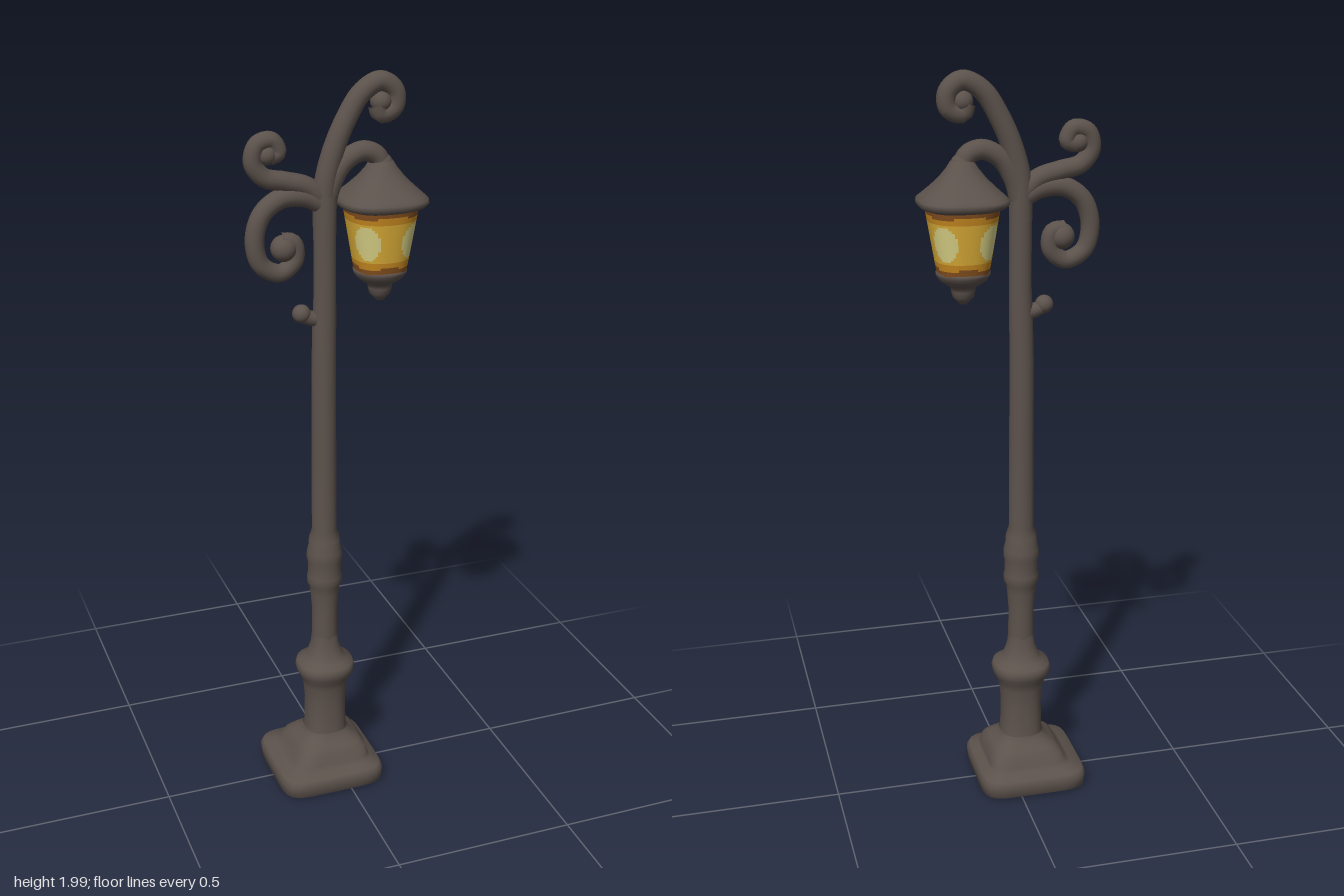
import * as THREE from 'three';

const mat = (name, color) => {
  const m = new THREE.MeshStandardMaterial({ color });
  m.name = name;
  return m;
};

// Stack of superellipse rings [y, radius, exponent, centreX], bottom to top.
// pick(ring, angle) chooses a material index per cell.
function loft(rings, seg = 48, pick = () => 0, colours = 1) {
  const pos = [];
  const lists = Array.from({ length: colours }, () => []);
  rings.forEach(([y, r, n = 2, cx = 0]) => {
    for (let j = 0; j < seg; j++) {
      const a = (j / seg) * Math.PI * 2, c = Math.cos(a), s = Math.sin(a);
      const k = r / Math.pow(Math.abs(c) ** n + Math.abs(s) ** n, 1 / n);
      pos.push(cx + k * c, y, k * s);
    }
  });
  for (let i = 0; i < rings.length - 1; i++) {
    for (let j = 0; j < seg; j++) {
      const a = i * seg + j, b = i * seg + ((j + 1) % seg);
      const list = lists[pick(i, ((j + 0.5) / seg) * Math.PI * 2)];
      list.push(a, a + seg, b, b, a + seg, b + seg);
    }
  }
  const g = new THREE.BufferGeometry();
  g.setAttribute('position', new THREE.Float32BufferAttribute(pos, 3));
  g.setIndex(lists.flat());
  let start = 0;
  lists.forEach((l, i) => { g.addGroup(start, l.length, i); start += l.length; });
  g.computeVertexNormals();
  return g;
}

// Tube through [x, y] points whose radius runs from r0 to r1.
function taperedTube(points, r0, r1) {
  const curve = new THREE.CatmullRomCurve3(points.map(([x, y]) => new THREE.Vector3(x, y, 0)));
  const seg = 72, sides = 14;
  const g = new THREE.TubeGeometry(curve, seg, 1, sides, false);
  const p = g.attributes.position, v = new THREE.Vector3();
  for (let i = 0; i <= seg; i++) {
    const c = curve.getPointAt(i / seg), r = r0 + (r1 - r0) * (i / seg);
    for (let j = 0; j <= sides; j++) {
      const k = i * (sides + 1) + j;
      v.fromBufferAttribute(p, k).sub(c).multiplyScalar(r).add(c);
      p.setXYZ(k, v.x, v.y, v.z);
    }
  }
  return g;
}

export function createModel() {
  const iron = mat('dark iron', 0x5c524c);
  const glassMats = [
    mat('burnt amber', 0x85501f),
    mat('amber glass', 0xc88a22),
    mat('golden glass', 0xdcae38),
    mat('pale glow', 0xdcd488),
  ];
  const model = new THREE.Group();
  model.name = 'streetLamp';
  const add = (name, geometry, material = iron, parent = model) => {
    const m = new THREE.Mesh(geometry, material);
    m.name = name;
    parent.add(m);
    return m;
  };

  // Square foot, stepping in to the pedestal
  add('foot', loft([
    [0.006, 0.001, 6, -0.044], [0.006, 0.135, 6, -0.044], [0.014, 0.149, 6, -0.044],
    [0.045, 0.152, 6, -0.044], [0.06, 0.144, 6, -0.044], [0.068, 0.118, 6, -0.04],
    [0.08, 0.108, 6, -0.035], [0.105, 0.1, 5, -0.032], [0.12, 0.085, 4, -0.031],
    [0.135, 0.066, 3, -0.031], [0.15, 0.06, 2.6, -0.031],
  ], 64));

  // Pedestal with flared collar
  add('pedestal', loft([
    [0.13, 0.064], [0.16, 0.058], [0.24, 0.056], [0.29, 0.06], [0.315, 0.067],
    [0.333, 0.078], [0.35, 0.081], [0.364, 0.077], [0.373, 0.06], [0.39, 0.048],
    [0.42, 0.038], [0.45, 0.035],
  ].map(([y, r]) => [y, r, 2.3, -0.031])));

  // Pole with its swollen band
  add('pole', loft([
    [0.43, 0.036], [0.53, 0.035], [0.58, 0.039], [0.605, 0.042], [0.615, 0.048],
    [0.635, 0.048], [0.645, 0.045], [0.68, 0.046], [0.69, 0.049], [0.71, 0.048],
    [0.725, 0.044], [0.75, 0.042], [0.775, 0.034], [1.0, 0.033], [1.25, 0.032],
    [1.36, 0.031, -0.029], [1.45, 0.029, -0.027], [1.6, 0.029, -0.027], [1.7, 0.03, -0.026],
  ].map(([y, r, cx = -0.031]) => [y, r, 2, cx]), 32));

  // Ironwork scrolls, each ending in a round boss [x, y, radius]
  const scrolls = [
    ['topScroll', 0.03, 0.024, [0.122, 1.922, 0.027], [
      [-0.027, 1.62], [-0.025, 1.72], [-0.006, 1.8], [0.028, 1.88], [0.072, 1.947],
      [0.122, 1.972], [0.159, 1.945], [0.157, 1.905], [0.122, 1.892], [0.112, 1.918]]],
    ['upperSideScroll', 0.027, 0.021, [-0.176, 1.812, 0.026], [
      [-0.026, 1.685], [-0.075, 1.725], [-0.13, 1.742], [-0.185, 1.757], [-0.212, 1.795],
      [-0.2, 1.838], [-0.163, 1.846], [-0.147, 1.815], [-0.172, 1.805]]],
    ['lowerSideScroll', 0.027, 0.022, [-0.135, 1.573, 0.034], [
      [-0.026, 1.675], [-0.08, 1.7], [-0.14, 1.7], [-0.19, 1.665], [-0.211, 1.6],
      [-0.195, 1.535], [-0.145, 1.51], [-0.106, 1.54], [-0.11, 1.585], [-0.145, 1.592]]],
    ['stubScroll', 0.022, 0.018, [-0.09, 1.396, 0.024], [
      [-0.028, 1.375], [-0.06, 1.38], [-0.088, 1.39]]],
    ['lanternArm', 0.026, 0.026, [0.125, 1.765, 0.03], [
      [-0.026, 1.66], [-0.008, 1.725], [0.025, 1.778], [0.072, 1.802], [0.11, 1.79], [0.127, 1.755]]],
  ];
  for (const [name, r0, r1, [x, y, r], pts] of scrolls) {
    const part = new THREE.Group();
    part.name = name;
    part.position.z = -0.003;
    model.add(part);
    add(name + 'Stem', taperedTube(pts, r0, r1), iron, part);
    add(name + 'Boss', new THREE.SphereGeometry(r, 20, 14), iron, part).position.set(x, y, 0);
  }

  // Hanging lantern
  const lantern = new THREE.Group();
  lantern.name = 'lantern';
  lantern.position.set(0.125, 0, -0.004);
  model.add(lantern);
  add('lanternRoof', loft([
    [1.658, 0.001, 2.6], [1.658, 0.092, 2.6], [1.664, 0.108, 2.6], [1.673, 0.116, 2.7],
    [1.683, 0.114, 2.7], [1.692, 0.104, 2.6], [1.712, 0.082, 2.4], [1.735, 0.059, 2.2],
    [1.758, 0.041, 2], [1.775, 0.03, 2], [1.785, 0.015, 2], [1.787, 0.001, 2],
  ]), iron, lantern);

  // Glass body: four glowing patches on the diagonals
  const levels = 26, y0 = 1.495, y1 = 1.662;
  const rings = Array.from({ length: levels + 1 }, (_, i) => {
    const t = i / levels;
    return [y0 + (y1 - y0) * t, 0.067 + 0.028 * t, 2.3];
  });
  const pick = (i, a) => {
    const y = y0 + ((y1 - y0) * (i + 0.5)) / levels;
    const da = (a % (Math.PI / 2)) - Math.PI / 4;
    const wave = 0.005 * Math.cos(4 * a);
    if (y > 1.647 + wave || y < 1.511 + wave) return 0;
    const d = Math.hypot(da / 0.42, (y - 1.578) / 0.047);
    if (d < 1) return 3;
    return y < 1.628 && y > 1.525 ? 2 : 1;
  };
  add('lanternGlass', loft(rings, 72, pick, 4), glassMats, lantern);

  // Bottom cup and finial
  add('lanternFinial', loft([
    [1.409, 0.001], [1.411, 0.01], [1.42, 0.018], [1.43, 0.028], [1.445, 0.031],
    [1.456, 0.033], [1.464, 0.046], [1.475, 0.061], [1.488, 0.07], [1.497, 0.07], [1.5, 0.06],
  ], 32), iron, lantern);

  return model;
}
